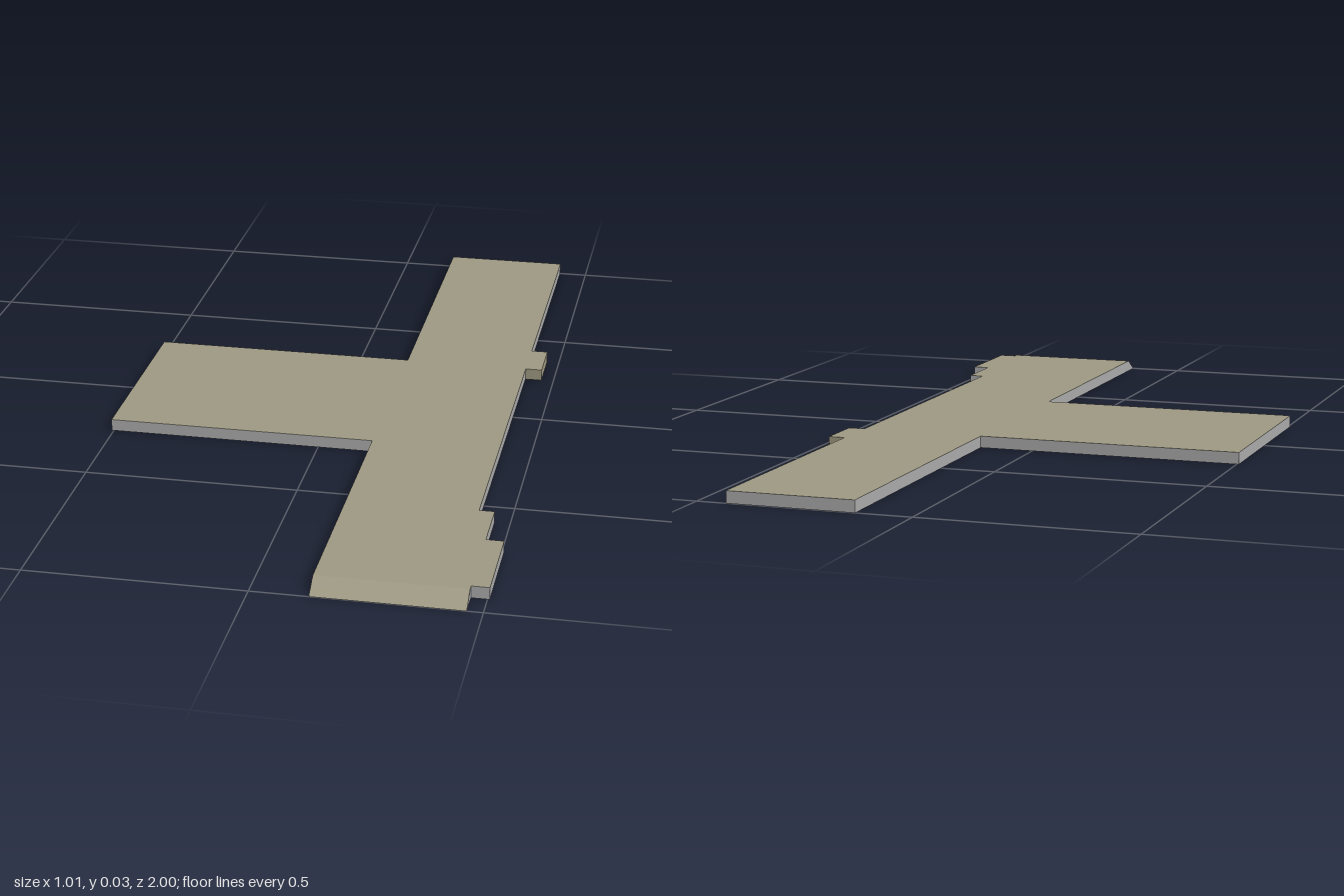
import * as THREE from 'three';

const HEIGHT = 0.028;

// Plan outline as [x, z], clockwise seen from above
const OUTLINE = [
  [0.13, -1], [0.43, -1], [0.43, -0.36], [0.47, -0.36], [0.47, -0.24], [0.43, -0.24],
  [0.43, 0.58], [0.465, 0.58], [0.465, 0.72], [0.505, 0.72], [0.505, 0.94], [0.465, 0.94],
  [0.465, 0.955], [0.13, 0.955], [0.13, 0.26], [-0.505, 0.26], [-0.505, -0.24], [0.13, -0.24],
];
const NOTCH_EDGES = [2, 3, 4]; // edges of the small khaki side tab
const RAMP_EDGE = 12;          // edge left open for the ramp

// Ramp profile as [z, y], with slight folds between its planks
const RAMP = [[0.955, HEIGHT], [0.968, 0.021], [0.98, 0.012], [0.99, 0.007], [1, 0]];

function makeSurface(points) {
  const geometry = new THREE.BufferGeometry();
  geometry.setAttribute('position', new THREE.Float32BufferAttribute(points, 3));
  geometry.computeVertexNormals();
  return geometry;
}

// Two triangles through four corners in counter-clockwise order
const quad = (a, b, c, d) => [...a, ...b, ...c, ...a, ...c, ...d];

function wallQuads(edges) {
  return makeSurface(edges.flatMap((i) => {
    const [ax, az] = OUTLINE[i];
    const [bx, bz] = OUTLINE[(i + 1) % OUTLINE.length];
    return quad([ax, HEIGHT, az], [bx, HEIGHT, bz], [bx, 0, bz], [ax, 0, az]);
  }));
}

export function createModel() {
  const group = new THREE.Group();
  const khaki = new THREE.MeshStandardMaterial({ color: 0x9e9982, side: THREE.DoubleSide });
  khaki.name = 'khaki';
  const grey = new THREE.MeshStandardMaterial({ color: 0xaaaaaa, side: THREE.DoubleSide });
  grey.name = 'grey';

  const add = (name, geometry, material) => {
    const mesh = new THREE.Mesh(geometry, material);
    mesh.name = name;
    group.add(mesh);
  };

  // Flat deck
  const shape = new THREE.Shape(OUTLINE.map(([x, z]) => new THREE.Vector2(x, -z)));
  add('deck', new THREE.ShapeGeometry(shape).rotateX(-Math.PI / 2).translate(0, HEIGHT, 0), khaki);

  // Edge walls, open underneath
  const wallEdges = OUTLINE.map((_, i) => i).filter((i) => i !== RAMP_EDGE && !NOTCH_EDGES.includes(i));
  add('edgeWalls', wallQuads(wallEdges), grey);
  add('sideTabWalls', wallQuads(NOTCH_EDGES), khaki);

  // Folded ramp at the front end
  const planks = [];
  for (let i = 0; i < RAMP.length - 1; i++) {
    const [z0, y0] = RAMP[i];
    const [z1, y1] = RAMP[i + 1];
    planks.push(...quad([0.13, y0, z0], [0.13, y1, z1], [0.465, y1, z1], [0.465, y0, z0]));
  }
  add('ramp', makeSurface(planks), khaki);

  // Triangular cheeks closing the ramp sides
  add('rampCheeks', makeSurface([
    0.465, 0, 0.955, 0.465, HEIGHT, 0.955, 0.465, 0, 1,
    0.13, 0, 0.955, 0.13, 0, 1, 0.13, HEIGHT, 0.955,
  ].map((v, i, all) => {
    // Swap the last two corners of the first cheek so that it faces outward
    if (i >= 3 && i < 6) return all[i + 3];
    if (i >= 6 && i < 9) return all[i - 3];
    return v;
  })), grey);

  return group;
}
